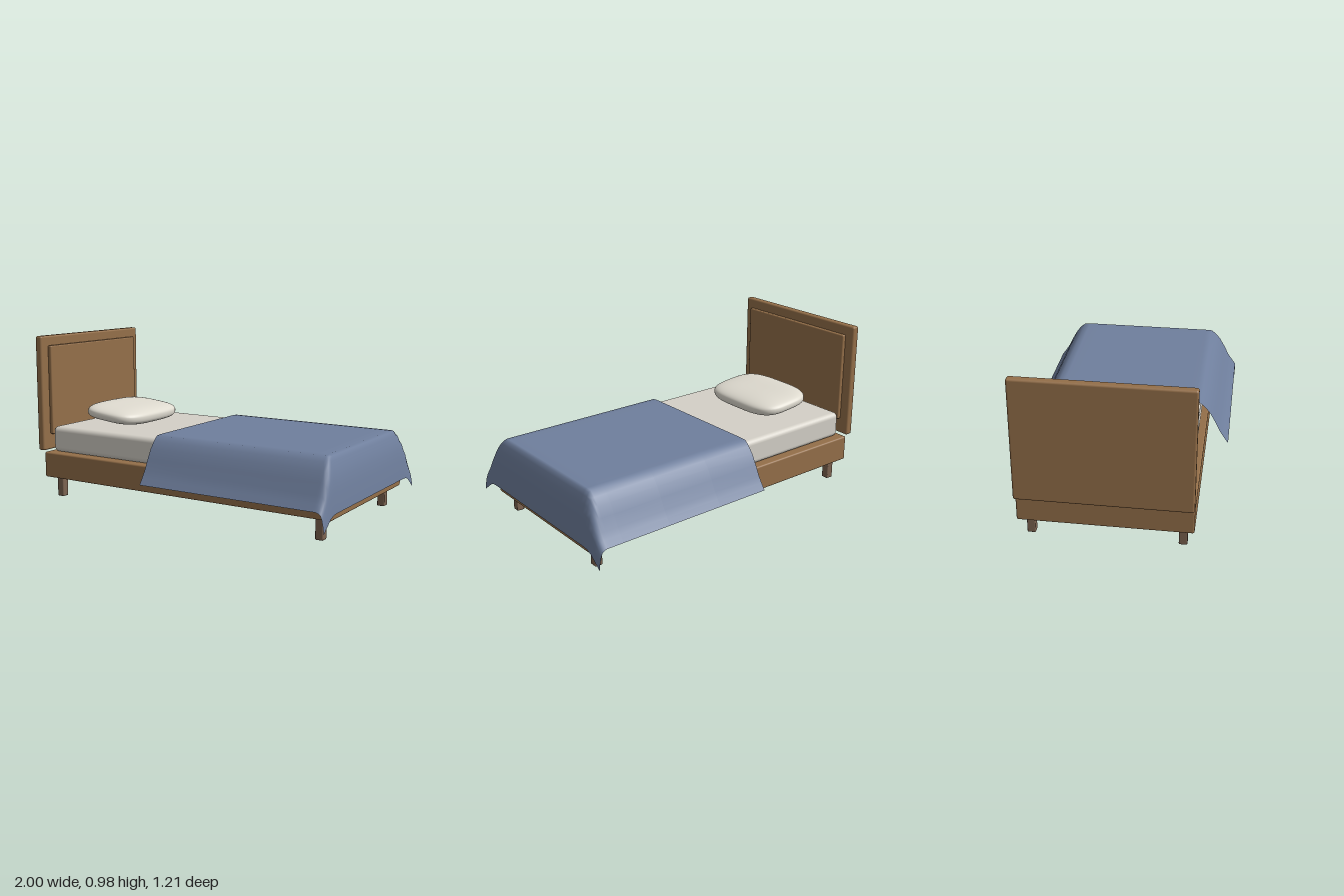
import * as THREE from 'three';
import { RoundedBoxGeometry } from 'three/addons/geometries/RoundedBoxGeometry.js';

const mat = (name, color, side = THREE.FrontSide) => {
  const m = new THREE.MeshStandardMaterial({ color, side });
  m.name = name;
  return m;
};

// Rounded box given by its minimum and maximum corners
function box(name, min, max, radius, material) {
  const s = max.map((v, i) => v - min[i]);
  const mesh = new THREE.Mesh(new RoundedBoxGeometry(s[0], s[1], s[2], 3, radius), material);
  mesh.name = name;
  mesh.position.set(...max.map((v, i) => (v + min[i]) / 2));
  return mesh;
}

// Cushion with a rounded-rectangle plan and softly bulging faces
function pillowGeometry(a, b, c) {
  const geo = new THREE.SphereGeometry(1, 48, 28);
  const p = geo.attributes.position;
  const pw = (v, e) => Math.sign(v) * Math.pow(Math.abs(v), e);
  for (let i = 0; i < p.count; i++) {
    const x = p.getX(i), y = p.getY(i), z = p.getZ(i);
    const r = Math.hypot(x, z);
    const k = Math.pow(r, 0.65);
    const cx = r > 1e-6 ? x / r : 0, cz = r > 1e-6 ? z / r : 0;
    p.setXYZ(i, a * k * pw(cx, 0.58), b * pw(y, 0.72), c * k * pw(cz, 0.58));
  }
  geo.computeVertexNormals();
  return geo;
}

// Draped sheet: side and foot drops merge into a hanging corner
function blanketGeometry() {
  const foot = [[-0.13, 0], [0.2, 0], [0.55, 0], [0.85, 0], [0.925, 0], [0.94, 0.008], [0.952, 0.03],
    [0.967, 0.07], [0.98, 0.115], [0.988, 0.17], [0.995, 0.23], [1, 0.288]];
  const half = [[0.15, 0], [0.3, 0], [0.4, 0], [0.435, 0.003], [0.465, 0.03], [0.495, 0.068],
    [0.525, 0.122], [0.555, 0.183], [0.58, 0.221], [0.605, 0.256]];
  const across = [...half.map(([z, d]) => [-z, d]).reverse(), [0, 0], ...half];
  const pos = [], idx = [], n = across.length;
  foot.forEach(([x, dx], i) => across.forEach(([z, dz], j) => {
    const drop = Math.pow(Math.pow(dx, 2.4) + Math.pow(dz, 2.4), 1 / 2.4);
    pos.push(x, 0.453 - drop, z);
    if (i && j) {
      const d = i * n + j, c = d - 1, b = d - n, a = b - 1;
      idx.push(a, b, d, a, d, c);
    }
  }));
  const geo = new THREE.BufferGeometry();
  geo.setAttribute('position', new THREE.Float32BufferAttribute(pos, 3));
  geo.setIndex(idx);
  geo.computeVertexNormals();
  return geo;
}

export function createModel() {
  const wood = mat('wood', 0x946f49);
  const legWood = mat('leg wood', 0x7c6350);
  const linen = mat('mattress linen', 0xd4d0c7);
  const cotton = mat('pillow cotton', 0xdedacf);
  const wool = mat('blanket wool', 0x6f7f9d, THREE.DoubleSide);

  const bed = new THREE.Group();
  bed.name = 'bed';

  // Wooden frame and headboard
  bed.add(
    box('frame', [-0.95, 0.12, -0.472], [0.975, 0.274, 0.472], 0.01, wood),
    box('headboard', [-1, 0.28, -0.472], [-0.953, 0.978, 0.472], 0.012, wood),
    box('headboardPanel', [-0.956, 0.376, -0.414], [-0.928, 0.919, 0.414], 0.008, wood),
    box('mattress', [-0.915, 0.274, -0.433], [0.93, 0.43, 0.433], 0.03, linen)
  );

  // Legs
  for (const x of [-0.865, 0.89])
    for (const z of [-0.41, 0.41])
      bed.add(box('leg', [x - 0.023, 0, z - 0.023], [x + 0.023, 0.125, z + 0.023], 0.006, legWood));

  // Pillow, leaning slightly down towards the foot
  const pillow = new THREE.Mesh(pillowGeometry(0.202, 0.052, 0.288), cotton);
  pillow.name = 'pillow';
  pillow.position.set(-0.634, 0.495, 0);
  pillow.rotation.z = -0.1;
  bed.add(pillow);

  // Blanket
  const blanket = new THREE.Mesh(blanketGeometry(), wool);
  blanket.name = 'blanket';
  bed.add(blanket);

  return bed;
}
